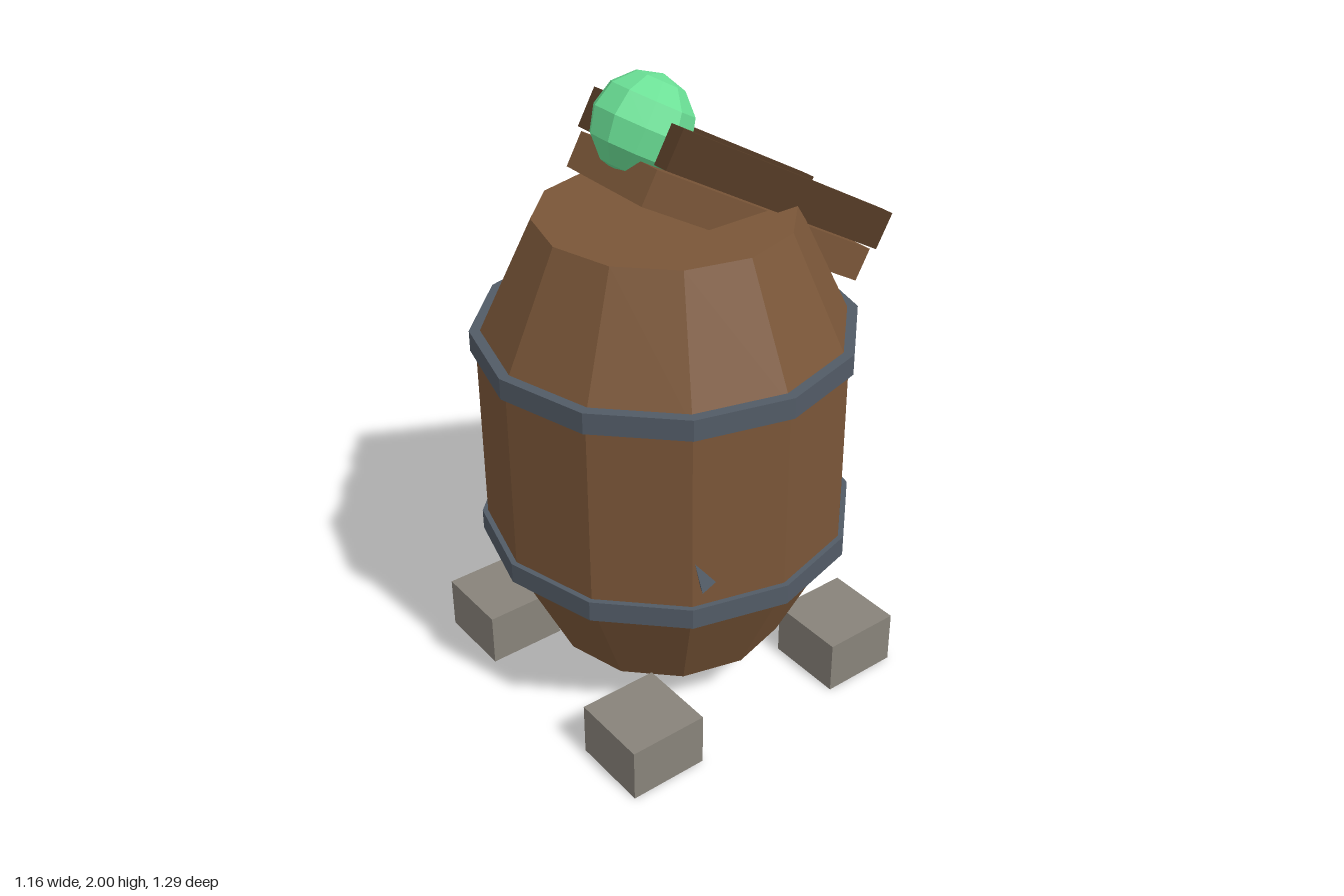
import * as THREE from 'three';
import { ConvexGeometry } from 'three/addons/geometries/ConvexGeometry.js';

const material = (name, color) =>
  new THREE.MeshStandardMaterial({ name, color, flatShading: true });

export function createModel() {
  const model = new THREE.Group();
  model.name = 'barrelLauncher';

  const wood = material('wood', 0x7a5638);
  const darkWood = material('darkWood', 0x543a25);
  const iron = material('iron', 0x525b66);
  const stone = material('stone', 0x88837a);
  const green = material('green', 0x6adf95);
  const brass = material('brass', 0xd6a84c);

  const centreZ = 0.067;
  const tilt = -Math.PI / 6; // ramp rises towards the front

  const add = (name, geometry, mat, x, y, z, rotX = 0) => {
    const mesh = new THREE.Mesh(geometry, mat);
    mesh.name = name;
    mesh.position.set(x, y, z);
    mesh.rotation.x = rotX;
    model.add(mesh);
    return mesh;
  };

  // Twelve-sided barrel body
  const profile = [
    [0, 0.165], [0.378, 0.165], [0.565, 0.555],
    [0.565, 1.19], [0.386, 1.57], [0, 1.57],
  ].map(([r, y]) => new THREE.Vector2(r, y));
  add('barrel', new THREE.LatheGeometry(profile, 12), wood, 0, 0, centreZ);

  // Iron hoops
  for (const y of [0.552, 1.19]) {
    add('hoop', new THREE.CylinderGeometry(0.582, 0.582, 0.066, 12), iron, 0, y, centreZ);
  }

  // Four stone feet
  for (const sx of [-1, 1]) {
    for (const sz of [-1, 1]) {
      add('foot', new THREE.BoxGeometry(0.256, 0.175, 0.256), stone,
        sx * 0.389, 0.0875, centreZ + sz * 0.39);
    }
  }

  // Sloping ramp plank with two side rails
  add('rampPlank', new THREE.BoxGeometry(0.355, 0.107, 0.94), wood, 0, 1.515, -0.153, tilt);
  for (const sx of [-1, 1]) {
    add('rampRail', new THREE.BoxGeometry(0.052, 0.12, 0.93), darkWood,
      sx * 0.179, 1.62, -0.213, tilt);
  }

  // Faceted ball at the top of the ramp
  add('ball', new THREE.SphereGeometry(0.15, 10, 6), green, 0, 1.85, 0.145, tilt);

  // Brass pegs lying along the ramp
  for (let i = 0; i < 2; i++) {
    add('peg', new THREE.CylinderGeometry(0.033, 0.033, 0.085, 8), brass,
      0, 1.63 + i * 0.073, -0.122 + i * 0.127, tilt + Math.PI / 2);
  }

  // Small iron spikes on both flanks
  for (const sx of [-1, 1]) {
    const corners = [
      [0.488, 0.745, 0.342], [0.52, 0.645, 0.336],
      [0.505, 0.655, 0.262], [0.44, 0.65, 0.3],
    ].map(([x, y, z]) => new THREE.Vector3(sx * x, y, z));
    add('spike', new ConvexGeometry(corners), iron, 0, 0, 0);
  }

  return model;
}
